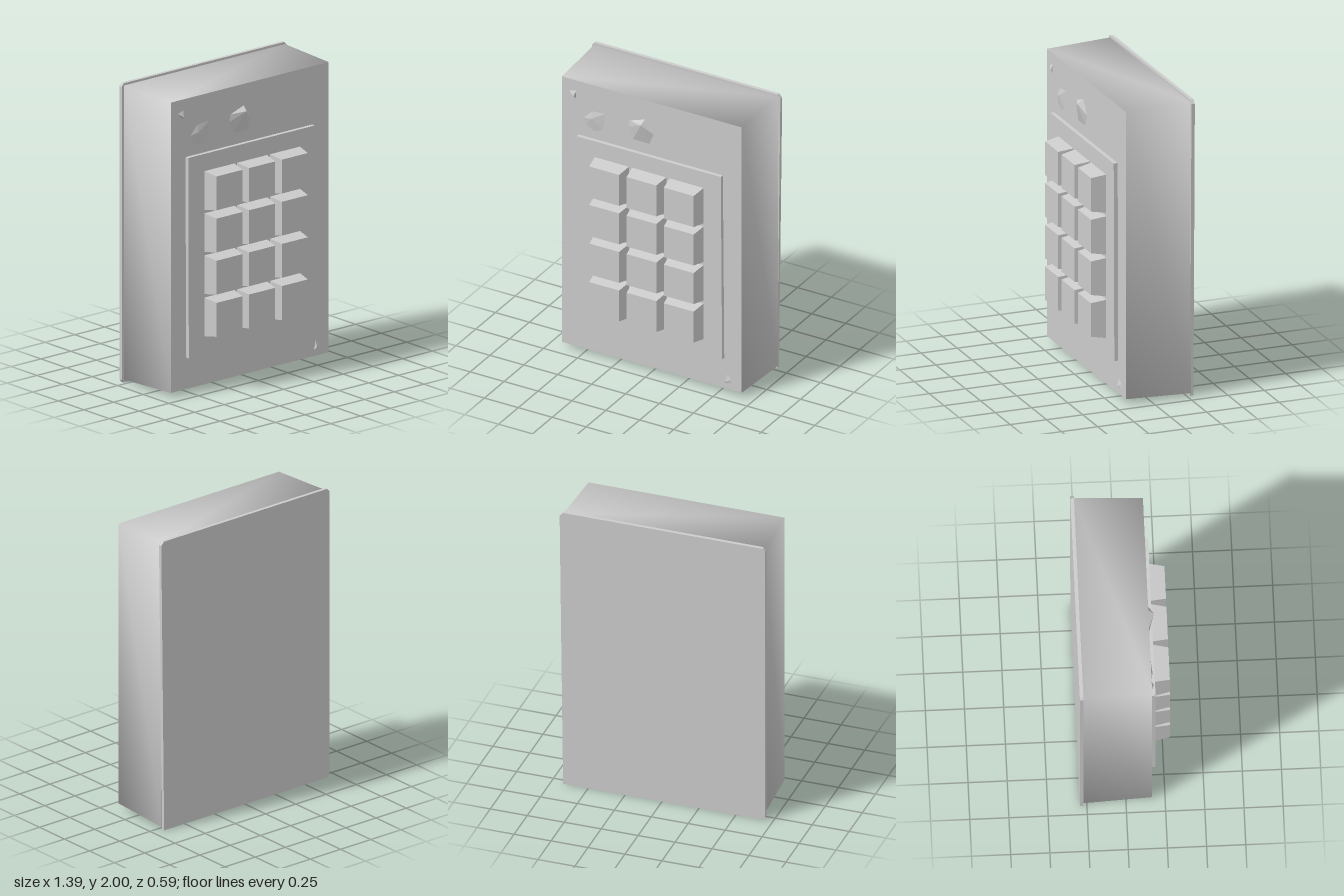
import * as THREE from 'three';

const material = new THREE.MeshStandardMaterial({ color: 0xcccccc, side: THREE.DoubleSide });

// Solid between two counter-clockwise outlines of equal length, back at z0 and front at z1
function loft(name, back, front, z0, z1, smoothWalls = false) {
  const group = new THREE.Group();
  group.name = name;
  const n = back.length;
  const ring = [...back.map(([x, y]) => [x, y, z0]), ...front.map(([x, y]) => [x, y, z1])];
  const walls = [], caps = [];
  for (let i = 0; i < n; i++) {
    const j = (i + 1) % n;
    walls.push(i, j, n + j, i, n + j, n + i);
    if (i > 0 && i < n - 1) caps.push(n, n + i, n + i + 1, 0, i + 1, i);
  }
  [['Walls', walls, smoothWalls], ['Faces', caps, false]].forEach(([part, index, smooth]) => {
    let g = new THREE.BufferGeometry();
    g.setAttribute('position', new THREE.Float32BufferAttribute(ring.flat(), 3));
    g.setIndex(index);
    if (!smooth) g = g.toNonIndexed();
    g.computeVertexNormals();
    const mesh = new THREE.Mesh(g, material);
    mesh.name = name + part;
    group.add(mesh);
  });
  return group;
}

// Faceted cap rising from a counter-clockwise outline to one peak
function facetedCap(name, outline, z, peak) {
  const pos = [];
  outline.forEach(([x, y], i) => {
    const [u, v] = outline[(i + 1) % outline.length];
    pos.push(x, y, z, u, v, z, ...peak);
  });
  const g = new THREE.BufferGeometry();
  g.setAttribute('position', new THREE.Float32BufferAttribute(pos, 3));
  g.computeVertexNormals();
  const mesh = new THREE.Mesh(g, material);
  mesh.name = name;
  return mesh;
}

const rect = (x0, y0, x1, y1) => [[x0, y0], [x1, y0], [x1, y1], [x0, y1]];

export function createModel() {
  const model = new THREE.Group();
  model.name = 'keypad';

  // Back plate with clipped corners and a slightly slanted right edge
  const plate = [[-0.68, 0], [0.67, 0], [0.67, 0.03], [0.693, 1.975], [0.67, 2], [-0.68, 2], [-0.697, 1.98], [-0.697, 0.02]];
  model.add(loft('backPlate', plate, plate, -0.295, -0.272));

  // Tapered housing
  model.add(loft('housing', rect(-0.68, 0.02, 0.675, 1.985), rect(-0.663, 0.033, 0.663, 1.972), -0.275, 0.168, true));

  // Raised panel behind the keys
  const panel = [[-0.535, 0.243], [0.535, 0.253], [0.525, 1.583], [-0.54, 1.583]];
  model.add(loft('keyPanel', panel, panel, 0.16, 0.195));

  // Three by four grid of tapered keys
  const h = 0.127, t = 0.11;
  for (let row = 0; row < 4; row++) {
    for (let col = 0; col < 3; col++) {
      const key = loft('key', rect(-h, -h - 0.003, h, h + 0.003), rect(-t, -t - 0.003, t, t + 0.003), 0.19, 0.293);
      key.position.set(-0.278 + col * 0.275, 0.494 + row * 0.2815, 0);
      model.add(key);
    }
  }

  // Indicator lamps above the keys
  model.add(facetedCap('leftLamp', [[-0.505, 1.715], [-0.48, 1.665], [-0.44, 1.638], [-0.4, 1.636], [-0.36, 1.66],
    [-0.345, 1.7], [-0.332, 1.793], [-0.44, 1.783]], 0.167, [-0.44, 1.73, 0.18]));
  model.add(facetedCap('rightLamp', [[-0.175, 1.74], [-0.14, 1.657], [-0.015, 1.657], [0.015, 1.735], [-0.05, 1.83],
    [-0.165, 1.79]], 0.167, [-0.06, 1.8, 0.206]));

  // Small corner screws
  model.add(facetedCap('upperScrew', [[-0.61, 1.885], [-0.56, 1.837], [-0.555, 1.9]], 0.167, [-0.568, 1.86, 0.184]));
  model.add(facetedCap('lowerScrew', [[0.54, 0.075], [0.595, 0.08], [0.59, 0.11], [0.555, 0.14]], 0.167, [0.55, 0.09, 0.184]));

  return model;
}
